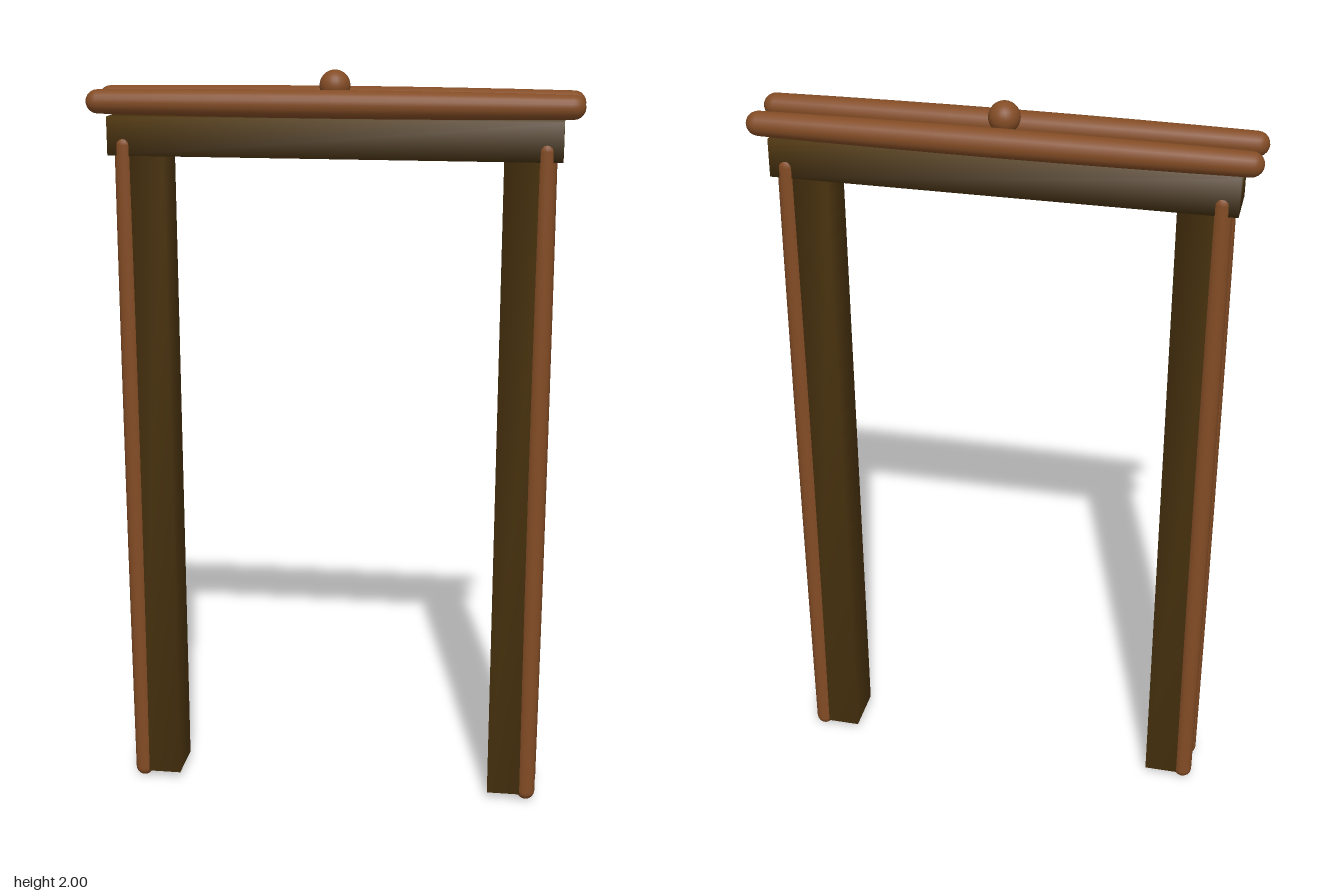
import * as THREE from 'three';
import { mergeVertices } from 'three/addons/utils/BufferGeometryUtils.js';

const lightWood = new THREE.MeshStandardMaterial({ color: 0x834c25 });
lightWood.name = 'lightWood';
const darkWood = new THREE.MeshStandardMaterial({ color: 0x4a330f });
darkWood.name = 'darkWood';

function addMesh(parent, name, geometry, material, x, y, z) {
  const mesh = new THREE.Mesh(geometry, material);
  mesh.name = name;
  mesh.position.set(x, y, z);
  parent.add(mesh);
  return mesh;
}

// Round pole along y with domed ends and a slight swelling at mid length
function poleGeometry(length, endRadius, midRadius) {
  const half = length / 2;
  const body = half - endRadius;
  const points = [];
  for (let i = 0; i <= 5; i++) {
    const a = (i / 5) * Math.PI / 2;
    points.push(new THREE.Vector2(endRadius * Math.sin(a), -body - endRadius * Math.cos(a)));
  }
  for (let i = 1; i < 8; i++) {
    const t = -1 + i / 4;
    points.push(new THREE.Vector2(endRadius + (midRadius - endRadius) * (1 - t * t), t * body));
  }
  for (let i = 0; i <= 5; i++) {
    const a = (i / 5) * Math.PI / 2;
    points.push(new THREE.Vector2(endRadius * Math.cos(a), body + endRadius * Math.sin(a)));
  }
  return new THREE.LatheGeometry(points, 20);
}

// Timber block with shared corners, so its shading runs softly across the faces
function timberGeometry(w, h, d) {
  const box = new THREE.BoxGeometry(w, h, d);
  box.deleteAttribute('normal');
  box.deleteAttribute('uv');
  const merged = mergeVertices(box);
  merged.computeVertexNormals();
  return merged;
}

export function createModel() {
  const model = new THREE.Group();
  model.name = 'gateway';

  const post = timberGeometry(0.11, 1.76, 0.136);
  const pole = poleGeometry(1.83, 0.025, 0.027);
  const rail = poleGeometry(1.28, 0.031, 0.036);

  // Two posts, each with a pair of slim poles on its outer side
  for (const [side, sx] of [['left', 1], ['right', -1]]) {
    const jamb = new THREE.Group();
    jamb.name = side + 'Jamb';
    model.add(jamb);
    addMesh(jamb, side + 'Post', post, darkWood, sx * 0.495, 0.9, 0);
    for (const [end, sz] of [['Front', 1], ['Back', -1]]) {
      addMesh(jamb, side + end + 'Pole', pole, lightWood, sx * 0.547, 0.917, sz * 0.05);
    }
  }

  // Lintel across the posts
  addMesh(model, 'lintel', timberGeometry(1.176, 0.1, 0.138), darkWood, 0, 1.83, 0);

  // Round rails along the top edges
  for (const [end, sz] of [['front', 1], ['back', -1]]) {
    addMesh(model, end + 'Rail', rail, lightWood, 0, 1.918, sz * 0.067).rotation.z = Math.PI / 2;
  }

  // Ball between the rails
  addMesh(model, 'ball', new THREE.SphereGeometry(0.04, 24, 16), lightWood, 0, 1.96, 0);

  return model;
}
